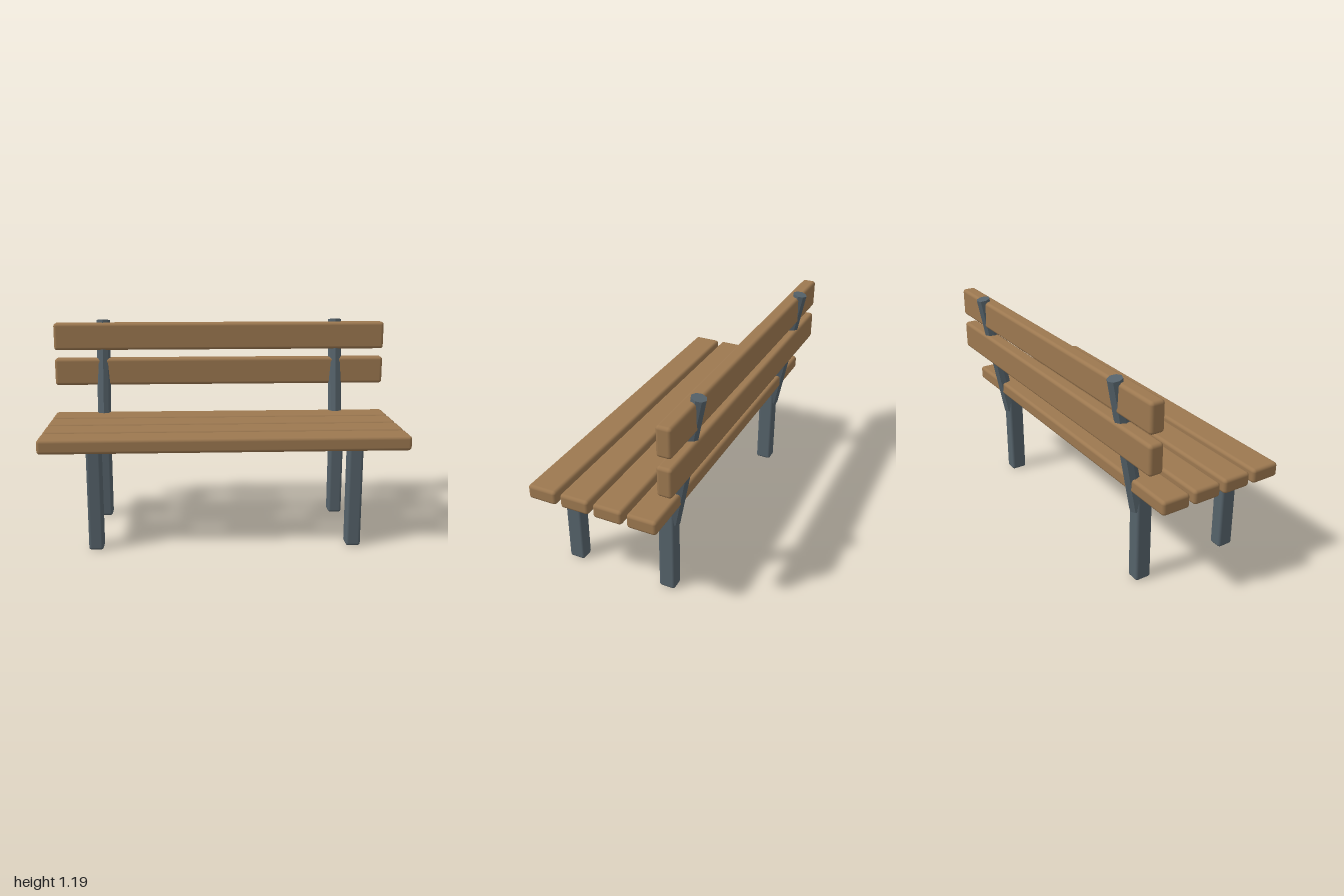
import * as THREE from 'three';
import { RoundedBoxGeometry } from 'three/addons/geometries/RoundedBoxGeometry.js';

const wood = new THREE.MeshStandardMaterial({ color: 0x9c7850 });
const metal = new THREE.MeshStandardMaterial({ color: 0x55626a });
const metalFlat = new THREE.MeshStandardMaterial({ color: 0x55626a, flatShading: true });

export function createModel() {
  const bench = new THREE.Group();
  bench.name = 'bench';

  const add = (name, geometry, material, x, y, z) => {
    const mesh = new THREE.Mesh(geometry, material);
    mesh.name = name;
    mesh.position.set(x, y, z);
    bench.add(mesh);
    return mesh;
  };

  // Four seat slats, front to back
  const seatSlat = new RoundedBoxGeometry(2, 0.08, 0.162, 3, 0.018);
  for (let i = 0; i < 4; i++) add('seatSlat', seatSlat, wood, 0, 0.59, 0.344 - i * 0.188);

  // Two upright backrest slats
  const backSlat = new RoundedBoxGeometry(2, 0.162, 0.08, 3, 0.018);
  for (const y of [0.872, 1.085]) add('backSlat', backSlat, wood, 0, y, -0.348);

  // Square legs and leaning eight-sided back posts, mirrored left and right
  const leg = new RoundedBoxGeometry(0.08, 0.57, 0.092, 3, 0.015);
  const bottom = new THREE.Vector3(0, 0.428, -0.244);
  const top = new THREE.Vector3(0, 1.178, -0.385);
  const lean = top.clone().sub(bottom);
  const post = new THREE.CylinderGeometry(0.04, 0.04, lean.length(), 8);
  for (const x of [-0.707, 0.707]) {
    add('frontLeg', leg, metal, x, 0.285, 0.344);
    add('rearLeg', leg, metal, x, 0.285, -0.22);
    const mesh = add('backPost', post, metalFlat, x, (bottom.y + top.y) / 2, (bottom.z + top.z) / 2);
    mesh.rotation.x = Math.atan2(lean.z, lean.y);
  }

  return bench;
}
